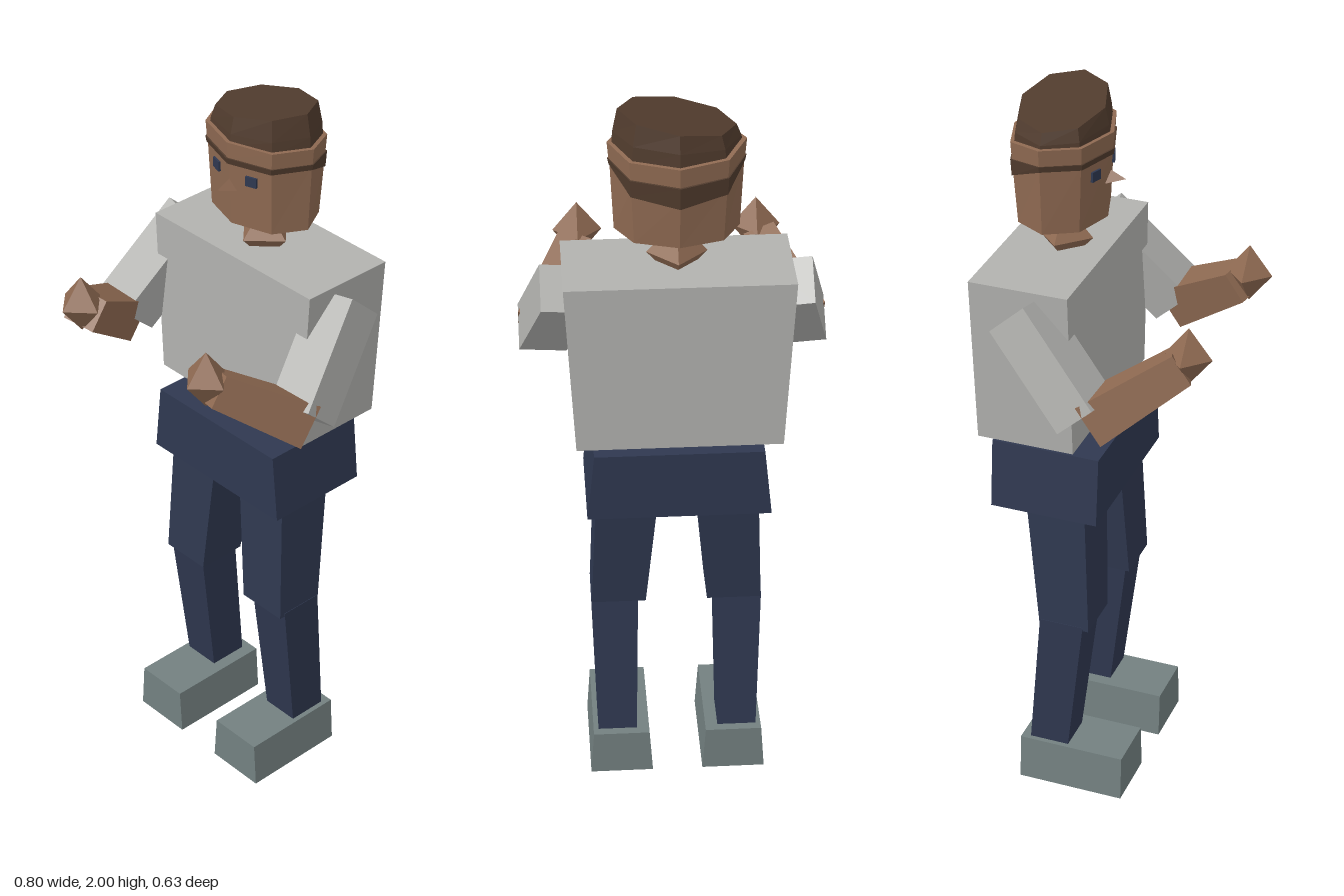
import * as THREE from 'three';

const mat = (name, color) => {
  const m = new THREE.MeshStandardMaterial({ color, flatShading: true });
  m.name = name;
  return m;
};
const V = (x, y, z) => new THREE.Vector3(x, y, z);

// Closed solid through a list of rings, each counter-clockwise seen from the end
function loft(rings) {
  const pos = [];
  const tri = (...pts) => pts.forEach((p) => pos.push(p.x, p.y, p.z));
  const n = rings[0].length;
  for (let i = 0; i < rings.length - 1; i++) {
    for (let j = 0; j < n; j++) {
      const k = (j + 1) % n;
      const [a, b, c, d] = [rings[i][j], rings[i][k], rings[i + 1][k], rings[i + 1][j]];
      tri(a, b, c);
      tri(a, c, d);
    }
  }
  const first = rings[0], last = rings[rings.length - 1];
  for (let j = 1; j < n - 1; j++) {
    tri(first[0], first[j + 1], first[j]);
    tri(last[0], last[j], last[j + 1]);
  }
  const g = new THREE.BufferGeometry();
  g.setAttribute('position', new THREE.Float32BufferAttribute(pos, 3));
  g.computeVertexNormals();
  return g;
}

// Level rectangle: centre x, half width, height, back z, front z
const rect = (x, w, y, zb, zf) => [V(x - w, y, zf), V(x + w, y, zf), V(x + w, y, zb), V(x - w, y, zb)];

// Square tapered limb between two points
function limb(a, b, wa, wb) {
  const d = b.clone().sub(a).normalize();
  const u = V(1, 0, 0).addScaledVector(d, -d.x).normalize();
  const w = d.clone().cross(u);
  const ring = (p, h) => [[-1, -1], [1, -1], [1, 1], [-1, 1]].map(([i, j]) =>
    p.clone().addScaledVector(u, i * h).addScaledVector(w, j * h));
  return loft([ring(a, wa / 2), ring(b, wb / 2)]);
}

// Eight-sided head ring whose height drops towards the back and may tilt sideways
const HEAD_Z = -0.17;
function headRing(rx, rz, yFront, yBack = yFront, tilt = 0) {
  return Array.from({ length: 8 }, (_, i) => {
    const t = (i * Math.PI) / 4;
    const y = yFront + (yBack - yFront) * Math.max(0, Math.sin(t)) + tilt * Math.cos(t);
    return V(rx * Math.cos(t), y, HEAD_Z - rz * Math.sin(t));
  });
}

export function createModel() {
  const skin = mat('skin', 0x8f6a52);
  const hair = mat('hair', 0x503b2d);
  const shirt = mat('shirt', 0xb2b2af);
  const trousers = mat('trousers', 0x2f3850);
  const shoes = mat('shoes', 0x738080);

  const model = new THREE.Group();
  model.name = 'figure';
  const body = new THREE.Group();
  body.name = 'body';
  body.position.x = 0.005;
  model.add(body);
  const add = (name, geometry, material) => {
    const m = new THREE.Mesh(geometry, material);
    m.name = name;
    body.add(m);
    return m;
  };

  // Trunk
  add('torso', loft([rect(0, 0.265, 1.115, -0.315, -0.05), rect(0, 0.29, 1.58, -0.318, -0.05)]), shirt);
  add('hips', loft([rect(0, 0.24, 0.89, -0.295, 0.003), rect(0, 0.22, 1.08, -0.295, 0.003)]), trousers);
  const neck = add('neck', new THREE.OctahedronGeometry(1), skin);
  neck.scale.set(0.077, 0.085, 0.077);
  neck.position.set(0, 1.605, HEAD_Z);

  // Head, hair and band
  add('face', loft([headRing(0.157, 0.118, 1.675), headRing(0.166, 0.13, 1.86, 1.81)]), skin);
  add('lowerHair', loft([headRing(0.168, 0.134, 1.852, 1.788), headRing(0.171, 0.137, 1.868, 1.845)]), hair);
  add('headBand', loft([headRing(0.168, 0.132, 1.866, 1.845), headRing(0.172, 0.135, 1.912, 1.895)]), skin);
  add('topHair', loft([
    headRing(0.161, 0.126, 1.9, 1.885),
    headRing(0.158, 0.122, 1.93, 1.93, 0.01),
    headRing(0.146, 0.112, 1.975, 1.975, 0.025),
  ]), hair);

  // Nose, a three-sided cone pointing forward
  const noseShape = new THREE.ConeGeometry(0.029, 0.06, 3).rotateX(Math.PI / 2);
  noseShape.rotateZ(Math.PI);
  noseShape.computeBoundingBox();
  // keep the single corner of the triangle at the top
  if (noseShape.boundingBox.max.y < -noseShape.boundingBox.min.y) noseShape.rotateZ(Math.PI);
  add('nose', noseShape, skin).position.set(0, 1.787, -0.033);

  for (const s of [1, -1]) {
    const side = s > 0 ? 'left' : 'right';

    // Eye
    const eye = add(side + 'Eye', new THREE.BoxGeometry(0.032, 0.027, 0.009), trousers);
    eye.position.set(s * 0.063, 1.816, -0.061);
    eye.rotation.y = s * 0.315;

    // Arm
    const elbow = V(s * 0.34, 1.29, 0.018);
    add(side + 'UpperArm', limb(V(s * 0.283, 1.515, -0.185), elbow, 0.125, 0.125), shirt);
    add(side + 'Forearm', limb(V(s * 0.347, 1.28, 0.028), V(s * 0.243, 1.425, 0.237), 0.118, 0.088), skin);
    const hand = add(side + 'Hand', new THREE.OctahedronGeometry(1), skin);
    hand.scale.set(0.065, 0.08, 0.063);
    hand.position.set(s * 0.238, 1.452, 0.253);

    // Leg
    add(side + 'Thigh', loft([
      rect(s * 0.156, 0.073, 0.535, -0.168, -0.026),
      rect(s * 0.131, 0.083, 0.91, -0.205, -0.04),
    ]), trousers);
    add(side + 'Shin', loft([
      rect(s * 0.165, 0.053, 0.12, -0.206, -0.095),
      rect(s * 0.167, 0.063, 0.545, -0.166, -0.042),
    ]), trousers);
    add(side + 'Foot', loft([
      rect(s * 0.155, 0.086, 0, -0.23, 0.07),
      rect(s * 0.155, 0.077, 0.13, -0.23, 0.07),
    ]), shoes);
  }
  return model;
}
